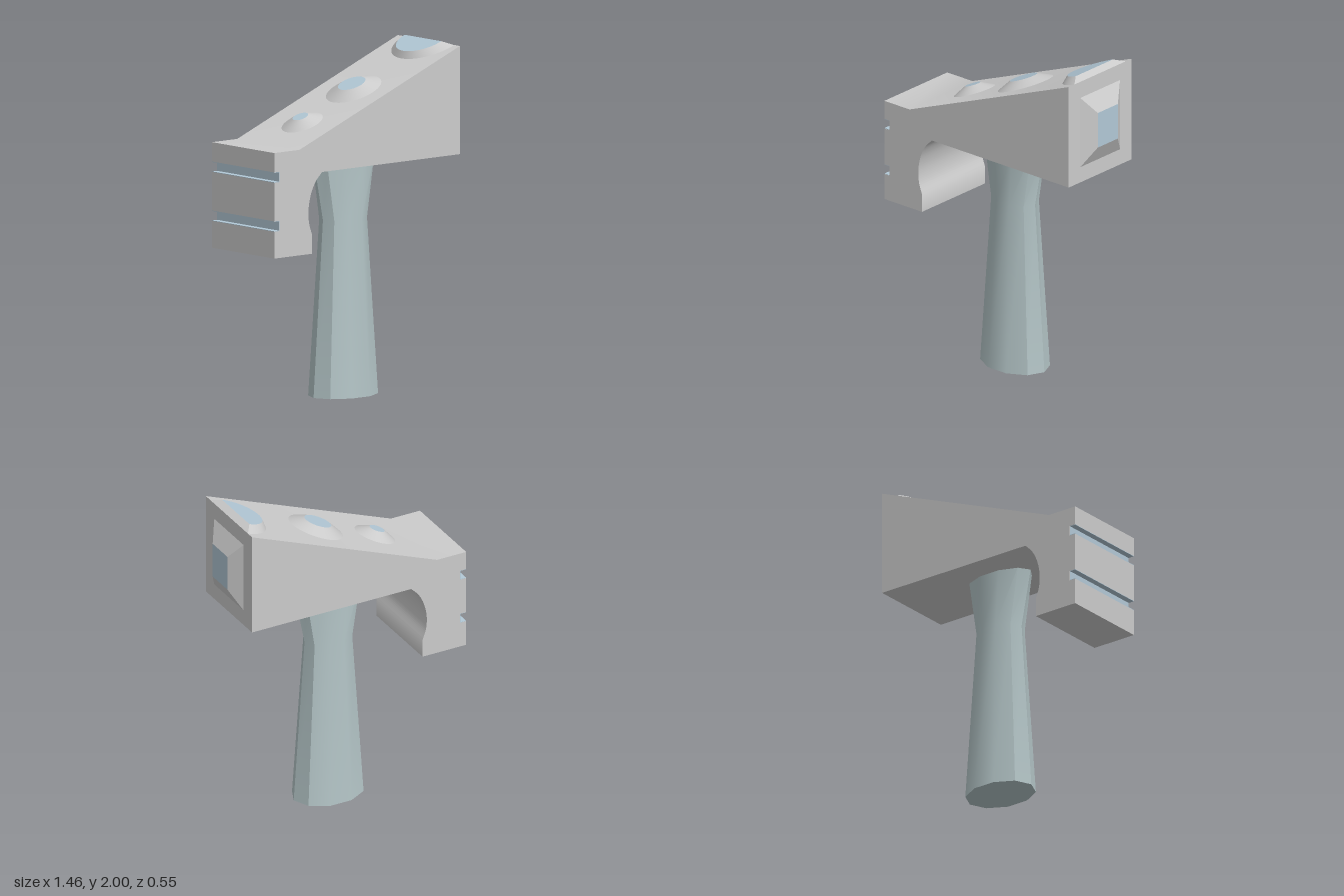
import * as THREE from 'three';
import { toCreasedNormals } from 'three/addons/utils/BufferGeometryUtils.js';

const grey = new THREE.MeshStandardMaterial({ color: 0xcccccc });
const handleMat = new THREE.MeshStandardMaterial({ color: 0xb4c5c7 });
const blue = new THREE.MeshStandardMaterial({ color: 0xb2c8d6 });

const DEPTH = 0.546;                       // width of the head along z
const SLOPE = Math.atan2(0.48, 1.21);      // tilt of the head's upper face
const GROOVES = [[1.045, 1.105], [1.328, 1.388]];

function add(parent, name, geometry, material) {
  const mesh = new THREE.Mesh(geometry, material);
  mesh.name = name;
  parent.add(mesh);
  return mesh;
}

// Side outline pulled through the full width, centred on z
function extrude(shape, depth = DEPTH) {
  const g = new THREE.ExtrudeGeometry(shape, { depth, bevelEnabled: false, curveSegments: 24 });
  g.translate(0, 0, -depth / 2);
  return toCreasedNormals(g, 0.5);
}

// Flat quads from corners listed counter-clockwise
function quads(list) {
  const pos = [];
  for (const [a, b, c, d] of list) pos.push(...a, ...b, ...c, ...a, ...c, ...d);
  const g = new THREE.BufferGeometry();
  g.setAttribute('position', new THREE.Float32BufferAttribute(pos, 3));
  g.computeVertexNormals();
  return g;
}

function headShape() {
  const s = new THREE.Shape();
  s.moveTo(-0.73, 0.89);
  s.lineTo(-0.445, 0.89);
  s.lineTo(-0.445, 1.0);
  s.splineThru([[-0.466, 1.06], [-0.473, 1.12], [-0.468, 1.18], [-0.45, 1.245], [-0.418, 1.305], [-0.37, 1.355]]
    .map(([x, y]) => new THREE.Vector2(x, y)));
  s.lineTo(0.668, 1.355);
  s.lineTo(0.668, 1.98);
  s.lineTo(-0.54, 1.5);
  s.lineTo(-0.73, 1.5);
  for (const [lo, hi] of [...GROOVES].reverse()) {
    s.lineTo(-0.73, hi);
    s.lineTo(-0.69, hi);
    s.lineTo(-0.69, lo);
    s.lineTo(-0.73, lo);
  }
  s.closePath();
  return s;
}

// Thin U-shaped lining of one groove
function liningShape(lo, hi, t = 0.003) {
  const s = new THREE.Shape();
  const pts = [[-0.73, lo], [-0.69, lo], [-0.69, hi], [-0.73, hi],
    [-0.73, hi - t], [-0.69 - t, hi - t], [-0.69 - t, lo + t], [-0.73, lo + t]];
  s.setFromPoints(pts.map(([x, y]) => new THREE.Vector2(x, y)));
  return s;
}

// Frame lying on the sloped face: local x runs up the slope, local y points out
function slopeFrame(name, x) {
  const f = new THREE.Group();
  f.name = name;
  f.position.set(x, 1.5 + (x + 0.54) * Math.tan(SLOPE), 0);
  f.rotation.z = SLOPE;
  return f;
}

function stud(name, x, rBase, rTop, h) {
  const f = slopeFrame(name, x);
  add(f, name + 'Side', new THREE.CylinderGeometry(rTop, rBase, h, 40, 1, true).translate(0, h / 2, 0), grey);
  add(f, name + 'Cap', new THREE.CircleGeometry(rTop, 40).rotateX(-Math.PI / 2).translate(0, h, 0), blue);
  return f;
}

// Half stud at the high end, cut off by a slanted face
function halfStud() {
  const h = 0.035, rBase = 0.224, rTop = 0.161, shift = -0.034;
  const f = slopeFrame('halfStud', 0.668);
  const side = new THREE.CylinderGeometry(rTop, rBase, h, 32, 1, true, Math.PI, Math.PI).translate(0, h / 2, 0);
  const p = side.attributes.position;
  for (let i = 0; i < p.count; i++) if (p.getY(i) > h / 2) p.setX(i, p.getX(i) + shift);
  side.computeVertexNormals();
  add(f, 'halfStudSide', side, grey);
  add(f, 'halfStudCut', quads([[[0, 0, rBase], [0, 0, -rBase], [shift, h, -rTop], [shift, h, rTop]]]), grey);
  add(f, 'halfStudCap', new THREE.CircleGeometry(rTop, 32, Math.PI / 2, Math.PI)
    .rotateX(-Math.PI / 2).translate(shift, h, 0), blue);
  return f;
}

// Ten-sided oval grip, narrowed at the waist
function handleGeometry() {
  const rings = [[0, 0.2225, 0.165], [1.02, 0.152, 0.113], [1.36, 0.218, 0.111]];
  const g = new THREE.CylinderGeometry(1, 1, 2, 10, 2, false, Math.PI / 2);
  const p = g.attributes.position;
  for (let i = 0; i < p.count; i++) {
    const [y, rx, rz] = rings[Math.round(p.getY(i)) + 1];
    p.setXYZ(i, 0.0225 + p.getX(i) * rx, y, p.getZ(i) * rz);
  }
  return toCreasedNormals(g, 0.56);
}

// Tapered striking plate on the +x end
function strikingPlate() {
  const group = new THREE.Group();
  group.name = 'strikingPlate';
  const ring = (x, y0, y1, z) => [[x, y0, z], [x, y0, -z], [x, y1, -z], [x, y1, z]];
  const base = ring(0.668, 1.45, 1.88, 0.173);
  const tip = ring(0.726, 1.56, 1.775, 0.087);
  add(group, 'plateBevel', quads(base.map((b, i) => {
    const j = (i + 1) % 4;
    return [b, base[j], tip[j], tip[i]];
  })), grey);
  add(group, 'plateFace', quads([tip]), blue);
  return group;
}

export function createModel() {
  const model = new THREE.Group();
  model.name = 'hammer';
  add(model, 'handle', handleGeometry(), handleMat);
  add(model, 'head', extrude(headShape()), grey);
  for (const [lo, hi] of GROOVES) add(model, 'grooveLining', extrude(liningShape(lo, hi), DEPTH - 0.002), blue);
  model.add(stud('smallStud', -0.285, 0.123, 0.046, 0.039));
  model.add(stud('largeStud', 0.102, 0.166, 0.082, 0.039));
  model.add(halfStud());
  model.add(strikingPlate());
  return model;
}
